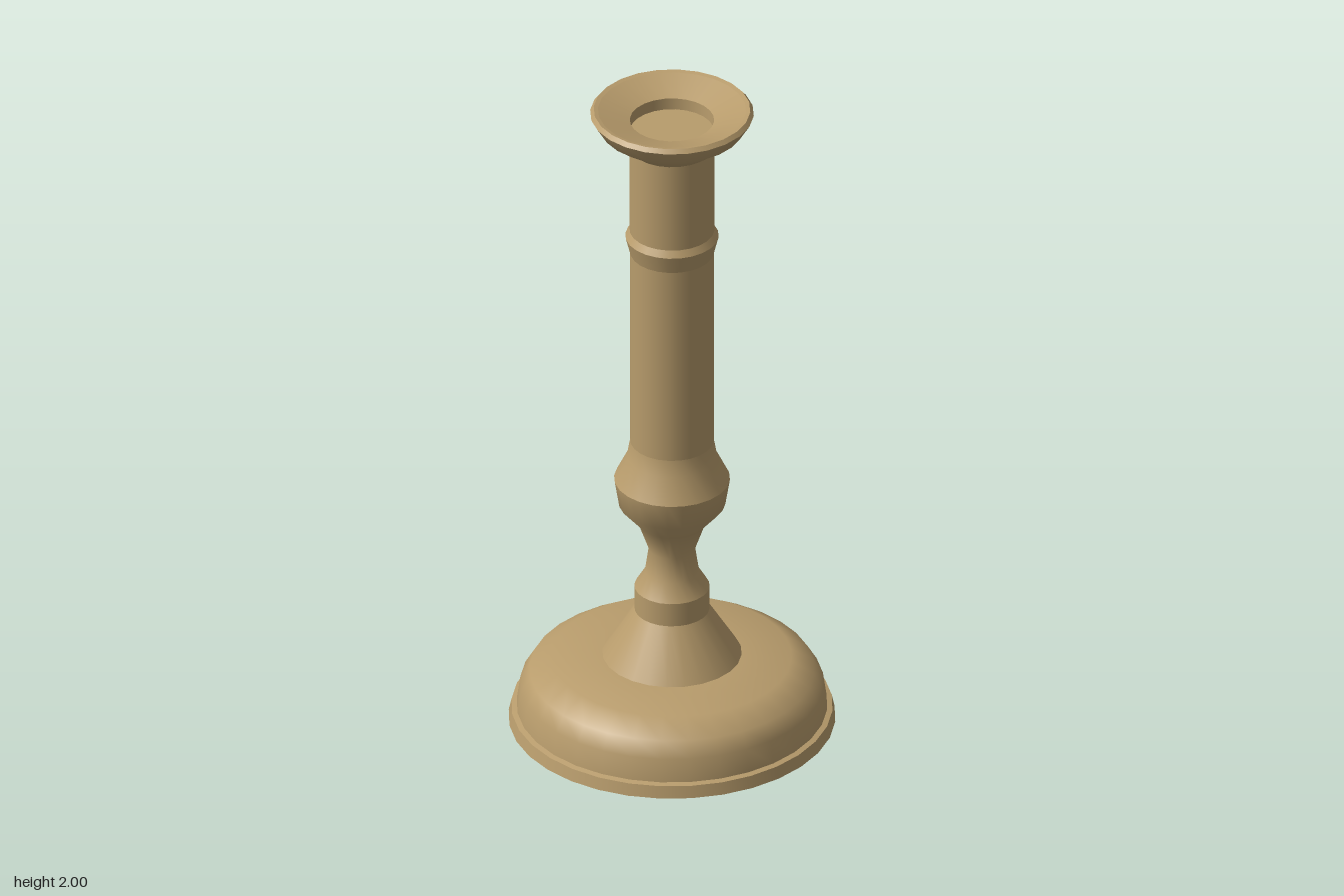
import * as THREE from 'three';

export function createModel() {
  const model = new THREE.Group();
  model.name = 'candlestick';
  const brass = new THREE.MeshStandardMaterial({ color: 0xb89c6c });
  brass.name = 'aged brass';

  // Turns a list of [radius, height] points; each part is smooth within itself
  // and keeps a crisp edge where it meets the next.
  function turn(name, sides, points) {
    const profile = points.map(([r, y]) => new THREE.Vector2(r, y));
    const mesh = new THREE.Mesh(new THREE.LatheGeometry(profile, sides), brass);
    mesh.name = name;
    model.add(mesh);
  }

  // Foot
  turn('footUnderside', 32, [[0, 0], [0.465, 0]]);
  turn('footRim', 32, [[0.465, 0], [0.457, 0.036]]);
  turn('footLedge', 32, [[0.457, 0.036], [0.442, 0.04]]);
  turn('footDome', 32, [[0.442, 0.04], [0.432, 0.11], [0.405, 0.155], [0.34, 0.197], [0.2, 0.21], [0.15, 0.212]]);
  turn('footCone', 24, [[0.201, 0.206], [0.107, 0.357]]);

  // Stem
  turn('collar', 24, [[0.107, 0.357], [0.107, 0.43]]);
  turn('neck', 24, [[0.107, 0.43], [0.077, 0.48], [0.066, 0.555], [0.096, 0.64], [0.152, 0.705], [0.165, 0.785]]);
  turn('shoulder', 24, [[0.165, 0.785], [0.128, 0.86], [0.119, 0.91]]);

  // Column with its raised ring
  turn('lowerColumn', 24, [[0.119, 0.91], [0.119, 1.53]]);
  turn('ringFlare', 24, [[0.119, 1.53], [0.133, 1.585]]);
  turn('ringTop', 24, [[0.133, 1.585], [0.121, 1.605]]);
  turn('upperColumn', 24, [[0.121, 1.605], [0.121, 1.88]]);

  // Drip pan and candle socket
  turn('panUnderside', 24, [[0.121, 1.88], [0.155, 1.907], [0.205, 1.942], [0.233, 1.988]]);
  turn('panEdge', 24, [[0.233, 1.988], [0.223, 2]]);
  turn('panRim', 24, [[0.223, 2], [0.211, 1.997]]);
  turn('panDish', 24, [[0.211, 1.997], [0.12, 1.965]]);
  turn('socketWall', 24, [[0.12, 1.965], [0.119, 1.93]]);
  turn('socketFloor', 24, [[0.119, 1.93], [0, 1.93]]);

  return model;
}
